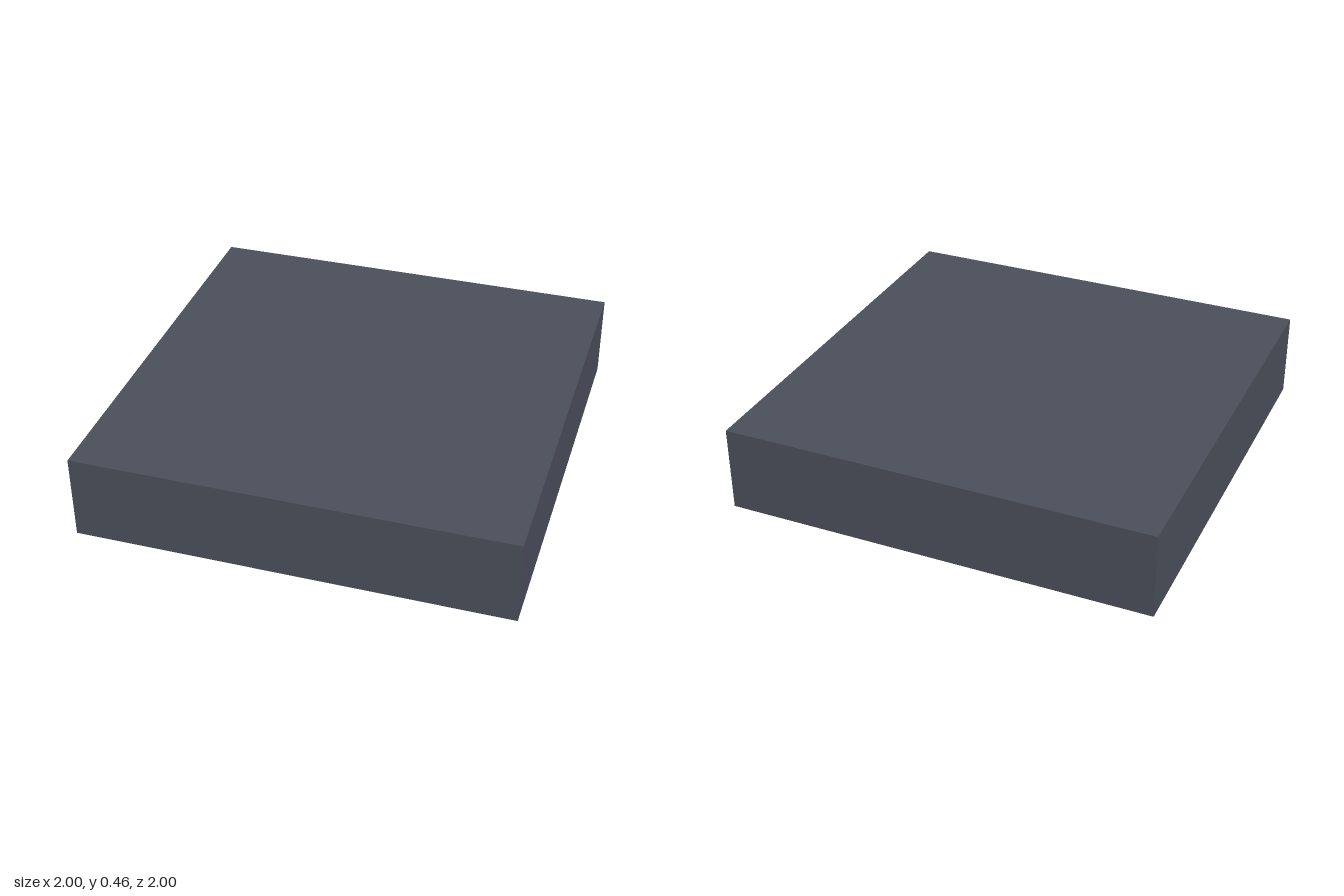
import * as THREE from 'three';

export function createModel() {
  const group = new THREE.Group();
  const housingMat = new THREE.MeshStandardMaterial({ color: 0x4a4e5a });
  housingMat.name = 'dark slate';
  const frameMat = new THREE.MeshStandardMaterial({ color: 0x7e8692 });
  frameMat.name = 'grey metal';
  const paneMat = new THREE.MeshStandardMaterial({ color: 0xccc09e });
  paneMat.name = 'warm cream';

  const add = (name, geometry, material, x = 0, y = 0, z = 0) => {
    const mesh = new THREE.Mesh(geometry, material);
    mesh.name = name;
    mesh.position.set(x, y, z);
    group.add(mesh);
    return mesh;
  };
  const box = (name, w, h, d, material, x, y, z) =>
    add(name, new THREE.BoxGeometry(w, h, d), material, x, y, z);

  // Square ceiling block
  box('housing', 2, 0.4, 2, housingMat, 0, 0.26, 0);

  // Square rim below it, open in the middle
  const square = (Type, r) => new Type([[-r, -r], [r, -r], [r, r], [-r, r]].map(([x, y]) => new THREE.Vector2(x, y)));
  const rim = square(THREE.Shape, 0.7);
  rim.holes.push(square(THREE.Path, 0.6));
  const rimGeometry = new THREE.ExtrudeGeometry(rim, { depth: 0.06, bevelEnabled: false });
  rimGeometry.rotateX(-Math.PI / 2);
  add('frame', rimGeometry, frameMat);

  // Four recessed light panes
  for (const x of [-1, 1]) {
    for (const z of [-1, 1]) {
      box('lightPane', 0.57, 0.03, 0.57, paneMat, x * 0.315, 0.045, z * 0.315);
    }
  }

  // Crossing divider bars
  box('dividerAcross', 1.2, 0.045, 0.06, frameMat, 0, 0.0375, 0);
  for (const z of [-1, 1]) {
    box('dividerAlong', 0.06, 0.045, 0.57, frameMat, 0, 0.0375, z * 0.315);
  }
  return group;
}
